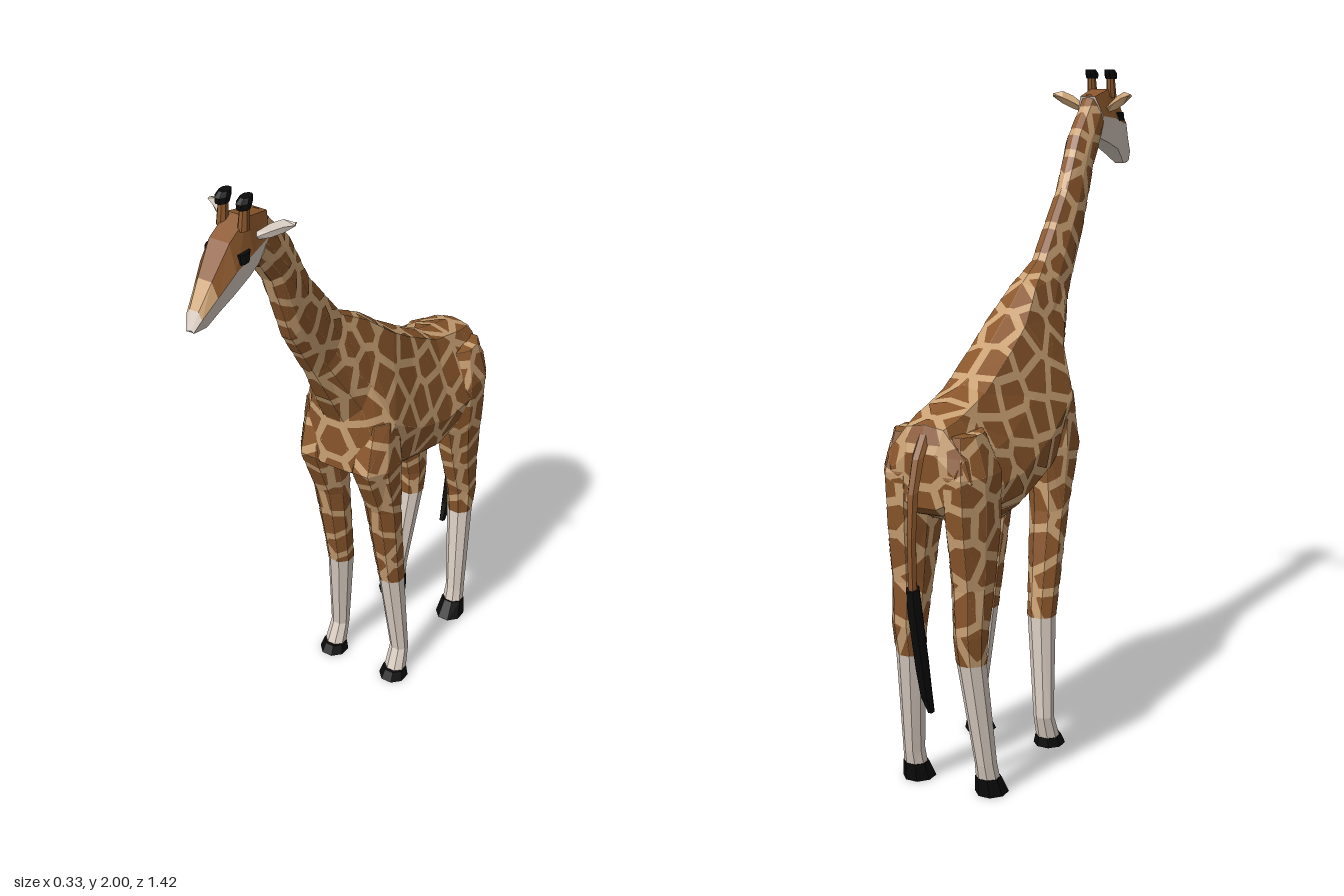
import * as THREE from 'three';

const mat = (name, color, opts = {}) => Object.assign(new THREE.MeshStandardMaterial({ color, ...opts }), { name });
const V = (x, y, z) => new THREE.Vector3(x, y, z);

// Skin between closed rings of points; every triangle remembers its ring i and side j (caps: j = -1)
function loft(rings) {
  const out = [];
  const n = rings[0].length;
  for (let i = 0; i < rings.length - 1; i++) {
    for (let j = 0; j < n; j++) {
      const k = (j + 1) % n;
      const [a, b, c, d] = [rings[i][j], rings[i][k], rings[i + 1][k], rings[i + 1][j]];
      out.push({ p: [a, b, c], i, j }, { p: [a, c, d], i, j });
    }
  }
  const last = rings[rings.length - 1];
  for (let j = 1; j < n - 1; j++) {
    out.push({ p: [rings[0][0], rings[0][j + 1], rings[0][j]], i: 0, j: -1 });
    out.push({ p: [last[0], last[j], last[j + 1]], i: rings.length - 2, j: -1 });
  }
  // Turn the skin outward
  const volume = out.reduce((s, t) => s + t.p[0].dot(t.p[1].clone().cross(t.p[2])), 0);
  if (volume < 0) out.forEach((t) => t.p.reverse());
  return out;
}

// Flat-faceted mesh from a list of triangles
function facets(name, tris, material) {
  const g = new THREE.BufferGeometry();
  g.setAttribute('position', new THREE.Float32BufferAttribute(tris.flatMap((t) => t.p.flatMap((v) => v.toArray())), 3));
  g.computeVertexNormals();
  const m = new THREE.Mesh(g, material);
  m.name = name;
  return m;
}

// Mirrored copy of a list of triangles
const mirror = (tris) => tris.map((t) => ({ ...t, p: t.p.map((v) => V(-v.x, v.y, v.z)).reverse() }));

// Part of a convex polygon in front of a plane
function clip(poly, normal, offset) {
  const out = [];
  poly.forEach((a, i) => {
    const b = poly[(i + 1) % poly.length];
    const da = a.dot(normal) - offset, db = b.dot(normal) - offset;
    if (da >= 0) out.push(a);
    if (da * db < 0) out.push(a.clone().lerp(b, da / (da - db)));
  });
  return out;
}

// Patch centres spread evenly over a surface
function scatter(tris, spacing, symmetric) {
  let seed = 7;
  const rnd = () => (seed = (seed * 16807) % 2147483647) / 2147483647;
  const areas = tris.map((t) => new THREE.Triangle(...t.p).getArea());
  const total = areas.reduce((a, b) => a + b, 0);
  const seeds = [];
  for (let n = 0; n < 5000; n++) {
    let pick = rnd() * total, i = 0;
    while (i < tris.length - 1 && pick > areas[i]) pick -= areas[i++];
    let u = rnd(), v = rnd();
    if (u + v > 1) { u = 1 - u; v = 1 - v; }
    const [a, b, c] = tris[i].p;
    const p = a.clone().addScaledVector(b.clone().sub(a), u).addScaledVector(c.clone().sub(a), v);
    const r = spacing(p.y);
    if (symmetric && Math.abs(p.x) < r * 0.5) {
      if (Math.abs(p.x) > 0.02) continue;
      p.x = 0;
    }
    if (seeds.some((s) => s.distanceTo(p) < r)) continue;
    seeds.push(p);
    if (symmetric && p.x) seeds.push(V(-p.x, p.y, p.z));
  }
  return seeds;
}

// Brown cell-shaped patches laid just above a surface
function patches(tris, seeds, gap) {
  const out = [];
  for (const t of tris) {
    const lift = new THREE.Triangle(...t.p).getNormal(V(0, 0, 0)).multiplyScalar(0.0015);
    for (const s of seeds) {
      let poly = t.p;
      for (const o of seeds) {
        if (o === s || o.distanceTo(s) > 0.35) continue;
        const n = s.clone().sub(o).normalize();
        const middle = s.clone().add(o).multiplyScalar(0.5);
        poly = clip(poly, n, n.dot(middle) + gap);
        if (poly.length < 3) break;
      }
      if (poly.length < 3 || poly[0].distanceTo(s) > 0.4) continue;
      const q = poly.map((v) => v.clone().add(lift));
      for (let k = 1; k < q.length - 1; k++) out.push({ p: [q[0], q[k], q[k + 1]] });
    }
  }
  return out;
}

// Ring across the body from a top point to a bottom point
function bodyRing([zt, yt, zb, yb, w, shoulder]) {
  const half = [[0.42, 0.04], [shoulder, 0.35], [1, 0.6], [0.85, 0.83], [0.35, 1]];
  const at = (f, t) => V(f * w, yt + (yb - yt) * t, zt + (zb - zt) * t);
  return [at(0, 0), ...half.map(([f, t]) => at(f, t)), ...half.reverse().map(([f, t]) => at(-f, t))];
}

// Level eight-sided ring filling the given bounds
function legRing([y, z0, z1, x0, x1]) {
  return Array.from({ length: 8 }, (_, k) => {
    const a = ((k + 0.5) * Math.PI) / 4, r = 0.5 / Math.cos(Math.PI / 8);
    return V((x0 + x1) / 2 + Math.cos(a) * r * (x1 - x0), y, (z0 + z1) / 2 + Math.sin(a) * r * (z0 - z1));
  });
}

export function createModel() {
  const brown = mat('brown coat', 0x8a562b);
  const tan = mat('tan coat', 0xcba274);
  const cream = mat('cream', 0xdacdc2);
  const black = mat('black', 0x0c0b0b);
  const model = new THREE.Group();
  model.name = 'giraffe';
  const add = (name, tris, m) => model.add(facets(name, tris, m));
  const addPair = (name, tris, m) => {
    add(name + 'Left', tris, m);
    add(name + 'Right', mirror(tris), m);
  };

  // Neck and torso: top z, y; bottom z, y; half width; shoulder fullness
  const body = loft([
    [0.42, 1.925, 0.45, 1.79, 0.042, 0.9],
    [0.31, 1.81, 0.385, 1.70, 0.045, 0.9],
    [0.22, 1.645, 0.305, 1.485, 0.045, 0.9],
    [0.06, 1.45, 0.2, 1.315, 0.053, 0.9],
    [-0.04, 1.395, 0.08, 1.09, 0.1, 0.75],
    [-0.15, 1.31, 0.075, 0.91, 0.155, 0.75],
    [-0.24, 1.25, -0.1, 0.8, 0.158, 0.75],
    [-0.4, 1.155, -0.3, 0.75, 0.158, 0.78],
    [-0.55, 1.11, -0.44, 0.775, 0.157, 0.82],
    [-0.615, 1.09, -0.6, 0.84, 0.135, 0.88],
    [-0.637, 1.02, -0.62, 0.86, 0.1, 0.95],
  ].map(bodyRing));
  add('body', body, tan);
  add('bodyPatches', patches(body, scatter(body, (y) => (y > 1.35 ? 0.068 : 0.086), true), 0.0125), brown);

  // Legs: y; front z, back z; inner x, outer x
  const legs = {
    frontLeg: {
      upper: [[1.08, 0.04, -0.08, 0.05, 0.145], [0.92, 0.08, -0.11, 0.03, 0.157], [0.73, 0, -0.1, 0.04, 0.148], [0.41, -0.065, -0.143, 0.058, 0.136]],
      lower: [[0.41, -0.065, -0.143, 0.058, 0.136], [0.1, -0.105, -0.155, 0.088, 0.146], [0.03, -0.075, -0.137, 0.086, 0.152]],
      hoof: [[0.03, -0.065, -0.138, 0.083, 0.155], [0, -0.048, -0.14, 0.075, 0.163]],
    },
    hindLeg: {
      upper: [[1.06, -0.47, -0.6, 0.04, 0.125], [0.95, -0.41, -0.63, 0.02, 0.157], [0.8, -0.41, -0.62, 0.03, 0.153], [0.63, -0.455, -0.597, 0.045, 0.146], [0.5, -0.495, -0.597, 0.053, 0.141], [0.41, -0.505, -0.58, 0.058, 0.136]],
      lower: [[0.41, -0.505, -0.58, 0.058, 0.136], [0.1, -0.47, -0.53, 0.088, 0.146], [0.055, -0.46, -0.52, 0.086, 0.15]],
      hoof: [[0.055, -0.455, -0.522, 0.083, 0.153], [0, -0.42, -0.515, 0.075, 0.163]],
    },
  };
  for (const [name, leg] of Object.entries(legs)) {
    const upper = loft(leg.upper.map(legRing));
    addPair(name + 'Upper', upper, tan);
    addPair(name + 'Patches', patches(upper, scatter(upper, () => 0.08, false), 0.0125), brown);
    addPair(name + 'Lower', loft(leg.lower.map(legRing)), cream);
    addPair(name + 'Hoof', loft(leg.hoof.map(legRing)), black);
  }

  // Head: top z, y; cheek z, y; jaw z, y; half width
  const head = loft([
    [0.41, 1.92, 0.43, 1.86, 0.45, 1.79, 0.045],
    [0.5, 1.94, 0.51, 1.85, 0.5, 1.775, 0.055],
    [0.575, 1.9, 0.585, 1.83, 0.57, 1.752, 0.056],
    [0.64, 1.82, 0.64, 1.78, 0.62, 1.725, 0.039],
    [0.688, 1.757, 0.69, 1.737, 0.66, 1.7, 0.025],
    [0.71, 1.712, 0.71, 1.706, 0.7, 1.7, 0.012],
  ].map(([zt, yt, zm, ym, zb, yb, w]) => {
    const side = [V(0.55 * w, yt, zt), V(w, ym, zm), V(0.6 * w, yb, zb)];
    return [...side, ...side.map((v) => V(-v.x, v.y, v.z)).reverse()];
  }));
  const upperFace = (t) => [0, 4, 5].includes(t.j) && t.i < 4;
  add('headTop', head.filter((t) => upperFace(t) && t.i < 3), brown);
  add('noseBridge', head.filter((t) => upperFace(t) && t.i === 3), tan);
  add('jawAndMuzzle', head.filter((t) => !upperFace(t)), cream);

  // Ears: pale inside, tan back
  const ear = loft([[0.04, 1.88, 0.475, 0.012], [0.075, 1.9, 0.463, 0.02], [0.105, 1.915, 0.45, 0.019], [0.132, 1.922, 0.438, 0.005]]
    .map(([x, y, z, h]) => [V(x, y + h, z), V(x + 0.003, y, z + 0.006), V(x, y - h, z), V(x - 0.004, y, z - 0.012)]));
  addPair('earInside', ear.filter((t) => t.j === 0 || t.j === 1), cream);
  addPair('earBack', ear.filter((t) => t.j !== 0 && t.j !== 1), tan);

  // Horns with dark tips, and eyes
  addPair('horn', loft([[1.915, 0.535, 0.5, 0.018, 0.047], [1.98, 0.523, 0.496, 0.021, 0.044]].map(legRing)), brown);
  addPair('hornTip', loft([[1.972, 0.535, 0.495, 0.016, 0.049], [1.988, 0.536, 0.485, 0.015, 0.05], [2, 0.52, 0.483, 0.019, 0.046]].map(legRing)), black);
  addPair('eye', loft([[1.842, 0.565, 0.53, 0.045, 0.062], [1.868, 0.565, 0.522, 0.04, 0.06]].map(legRing)), black);

  // Tail and tuft: z, y, radius
  const tailRing = ([z, y, r]) => Array.from({ length: 6 }, (_, k) => {
    const a = (k * Math.PI) / 3;
    return V(Math.cos(a) * r, y + Math.sin(a) * r * 0.3, z + Math.sin(a) * r);
  });
  add('tail', loft([[-0.605, 1.075, 0.018], [-0.65, 1.01, 0.018], [-0.68, 0.92, 0.016], [-0.692, 0.8, 0.014], [-0.69, 0.64, 0.013]].map(tailRing)), brown);
  add('tailTuft', loft([[-0.69, 0.655, 0.02], [-0.682, 0.6, 0.022], [-0.645, 0.42, 0.021], [-0.625, 0.33, 0.018], [-0.6, 0.27, 0.01]].map(tailRing)), black);

  return model;
}
